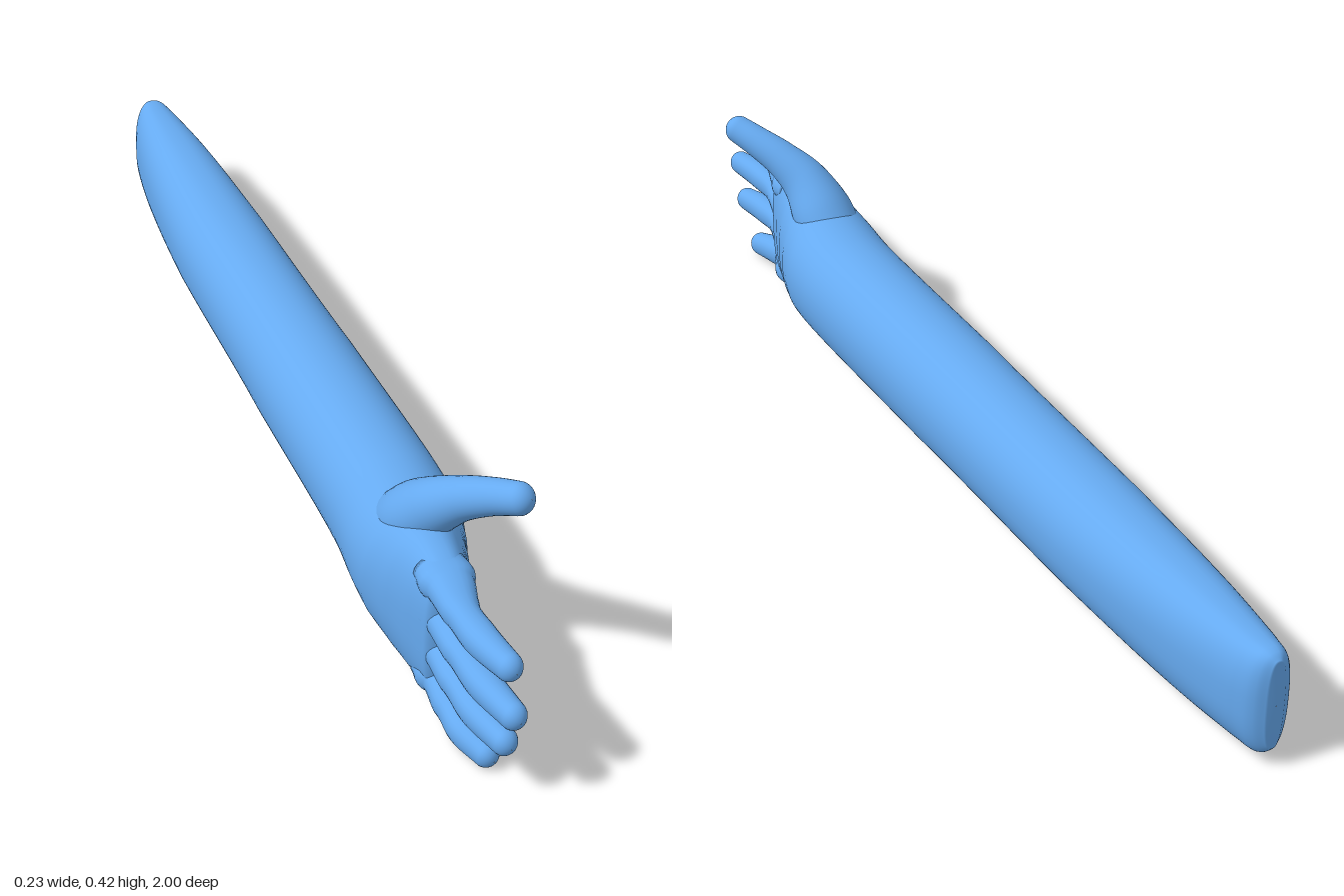
import * as THREE from 'three';

const skin = new THREE.MeshStandardMaterial({ color: 0x66aaf0 });

// Smooth loft through sections [x, y, z, half width, half height, squareness].
// dome > 0 rounds the far end, sticking out by that length.
function loft(name, sections, { steps = 6, sides = 32, dome = 0, alongZ = false } = {}) {
  const path = new THREE.CatmullRomCurve3(sections.map(s => new THREE.Vector3(s[0], s[1], s[2])), false, 'centripetal');
  const size = new THREE.CatmullRomCurve3(sections.map(s => new THREE.Vector3(s[3], s[4], s[5] ?? 2)), false, 'centripetal');
  const rings = [];
  const count = (sections.length - 1) * steps;
  for (let i = 0; i <= count; i++) {
    const t = i / count;
    const tan = alongZ ? new THREE.Vector3(0, 0, 1) : path.getTangent(t);
    rings.push({ p: path.getPoint(t), tan, s: size.getPoint(t) });
  }
  // rounded tip
  const end = rings[rings.length - 1];
  for (let k = 1; k <= 8; k++) {
    const a = (k / 8) * Math.PI / 2;
    const c = Math.max(Math.cos(a), 0.001);
    rings.push({
      p: end.p.clone().addScaledVector(end.tan, dome * Math.sin(a)),
      tan: end.tan,
      s: new THREE.Vector3(end.s.x * c, end.s.y * c, end.s.z),
    });
  }
  // closed start
  const first = rings[0];
  rings.unshift({ p: first.p, tan: first.tan, s: new THREE.Vector3(0.0005, 0.0005, 2) });

  const pos = [], index = [];
  const pw = (v, n) => Math.sign(v) * Math.abs(v) ** (2 / n);
  rings.forEach(({ p, tan, s }, i) => {
    const side = new THREE.Vector3(0, 1, 0).cross(tan).normalize();
    const up = tan.clone().cross(side);
    for (let j = 0; j < sides; j++) {
      const a = (j / sides) * Math.PI * 2;
      const v = p.clone()
        .addScaledVector(side, Math.max(s.x, 0.0005) * pw(Math.cos(a), s.z))
        .addScaledVector(up, Math.max(s.y, 0.0005) * pw(Math.sin(a), s.z));
      pos.push(v.x, v.y, v.z);
      if (i === 0) continue;
      const k = (j + 1) % sides, r0 = (i - 1) * sides, r1 = i * sides;
      index.push(r0 + j, r0 + k, r1 + j, r0 + k, r1 + k, r1 + j);
    }
  });
  const g = new THREE.BufferGeometry();
  g.setAttribute('position', new THREE.Float32BufferAttribute(pos, 3));
  g.setIndex(index);
  g.computeVertexNormals();
  const mesh = new THREE.Mesh(g, skin);
  mesh.name = name;
  return mesh;
}

export function createModel() {
  const model = new THREE.Group();
  model.name = 'arm';

  // forearm, wrist and palm in one continuous skin
  model.add(loft('forearmAndPalm', [
    [0, 0.128, -0.998, 0.016, 0.086, 2.6],
    [0, 0.126, -0.985, 0.034, 0.098, 2.6],
    [0, 0.126, -0.94, 0.052, 0.101, 2.5],
    [0, 0.128, -0.8, 0.073, 0.104, 2.4],
    [-0.002, 0.133, -0.5, 0.095, 0.107, 2.2],
    [-0.003, 0.147, 0, 0.103, 0.113, 2.1],
    [-0.005, 0.157, 0.42, 0.106, 0.115, 2.1],
    [-0.012, 0.157, 0.5, 0.106, 0.119, 2.1],
    [-0.022, 0.154, 0.57, 0.096, 0.131, 2.1],
    [-0.026, 0.152, 0.63, 0.078, 0.139, 2.2],
    [-0.029, 0.15, 0.69, 0.058, 0.137, 2.5],
    [-0.031, 0.15, 0.735, 0.044, 0.128, 2.9],
  ], { sides: 56, dome: 0.02, alongZ: true }));

  // thumb, flaring into the palm at its root
  model.add(loft('thumb', [
    [-0.022, 0.2, 0.5, 0.06, 0.05],
    [-0.018, 0.255, 0.56, 0.062, 0.058],
    [-0.004, 0.31, 0.61, 0.047, 0.048],
    [0.024, 0.348, 0.652, 0.036, 0.037],
    [0.056, 0.376, 0.697, 0.03, 0.031],
    [0.08, 0.394, 0.735, 0.027, 0.028],
  ], { dome: 0.026 }));

  // four gently curled fingers: root height, tip height, tip depth
  [
    ['indexFinger', 0.25, 0.264, 0.975],
    ['middleFinger', 0.183, 0.186, 1],
    ['ringFinger', 0.116, 0.109, 0.975],
    ['littleFinger', 0.052, 0.027, 0.915],
  ].forEach(([name, y0, y1, tip]) => {
    const end = tip - 0.022, len = end - 0.74;
    const y = t => y0 + (y1 - y0) * t;
    model.add(loft(name, [
      [-0.03, y0, 0.69, 0.045, 0.033],
      [-0.032, y0, 0.74, 0.04, 0.031, 2.3],
      [-0.042, y(0.4), 0.74 + len * 0.3, 0.031, 0.028, 2.3],
      [-0.041, y(0.75), 0.74 + len * 0.65, 0.028, 0.028, 2.2],
      [-0.028, y(1), end, 0.022, 0.024, 2.1],
    ], { sides: 24, dome: 0.022 }));
  });

  return model;
}
